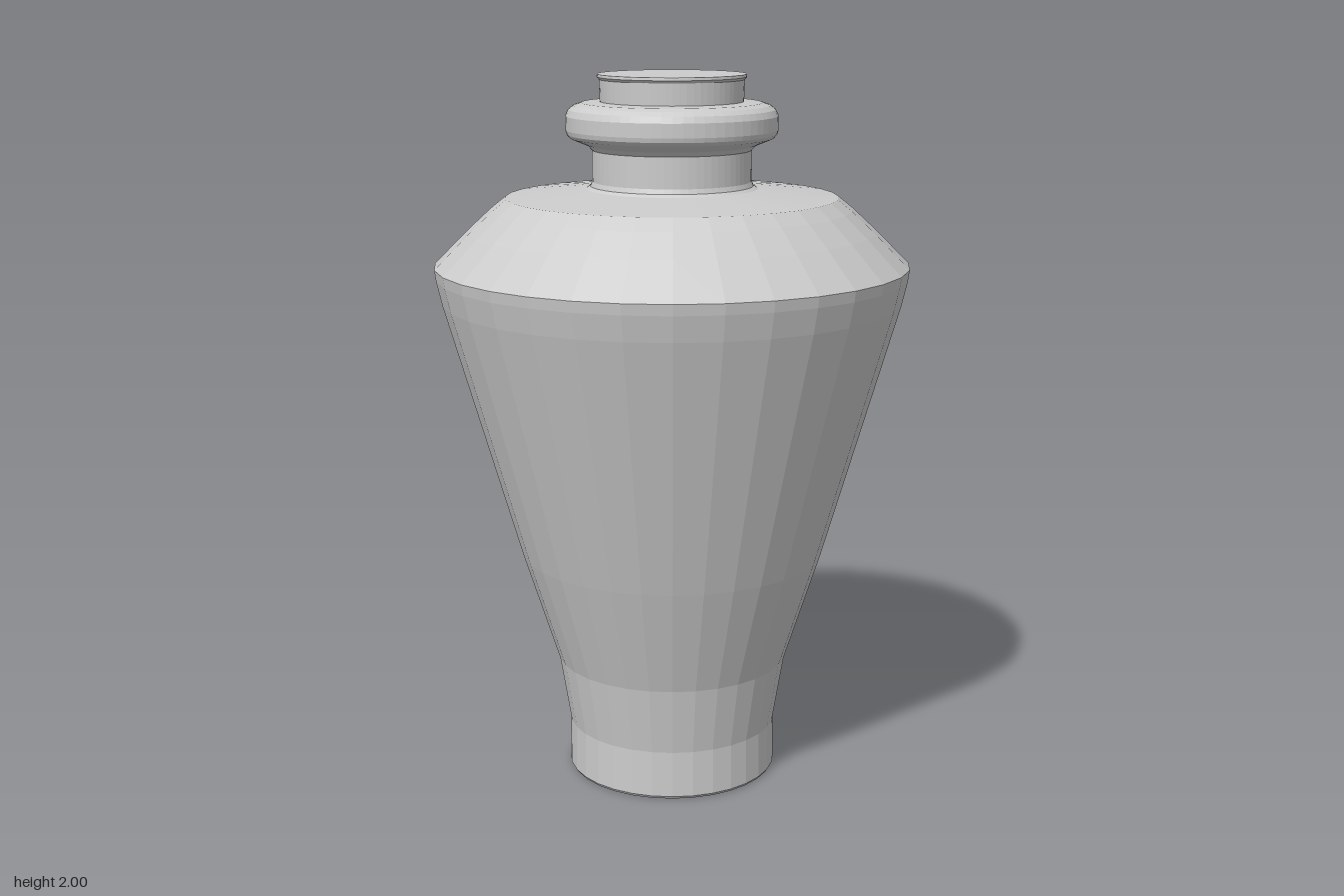
import * as THREE from 'three';

const material = new THREE.MeshStandardMaterial({
  color: 0xcccccc, flatShading: true, side: THREE.DoubleSide,
});

// Turns a [radius, height] profile, listed from bottom to top, around the y axis.
function turned(name, profile, sides) {
  const points = profile.map(([r, y]) => new THREE.Vector2(r, y));
  const mesh = new THREE.Mesh(new THREE.LatheGeometry(points, sides), material);
  mesh.name = name;
  return mesh;
}

export function createModel() {
  const vase = new THREE.Group();
  vase.name = 'vase';

  // Foot with a small drain hole, tapering body and sloped shoulder
  vase.add(turned('body', [
    [0.028, 0], [0.295, 0], [0.3, 0.008], [0.298, 0.14], [0.33, 0.335],
    [0.43, 0.65], [0.64, 1.38], [0.656, 1.45], [0.66, 1.48],
    [0.565, 1.575], [0.5, 1.635], [0.46, 1.667], [0.235, 1.69],
  ], 32));

  // Neck with a small flare where it meets the shoulder
  vase.add(turned('neck', [
    [0.24, 1.688], [0.225, 1.697], [0.22, 1.71], [0.22, 1.8],
  ], 64));

  // Rounded collar around the neck
  vase.add(turned('collar', [
    [0.22, 1.795], [0.232, 1.808], [0.28, 1.828], [0.289, 1.838], [0.292, 1.85],
    [0.292, 1.888], [0.284, 1.905], [0.27, 1.916], [0.248, 1.923], [0.196, 1.926],
  ], 64));

  // Closed stopper, slightly wider at its top edge
  vase.add(turned('stopper', [
    [0.197, 1.92], [0.199, 1.985], [0.205, 1.992], [0.204, 2], [0, 2],
  ], 64));

  return vase;
}
